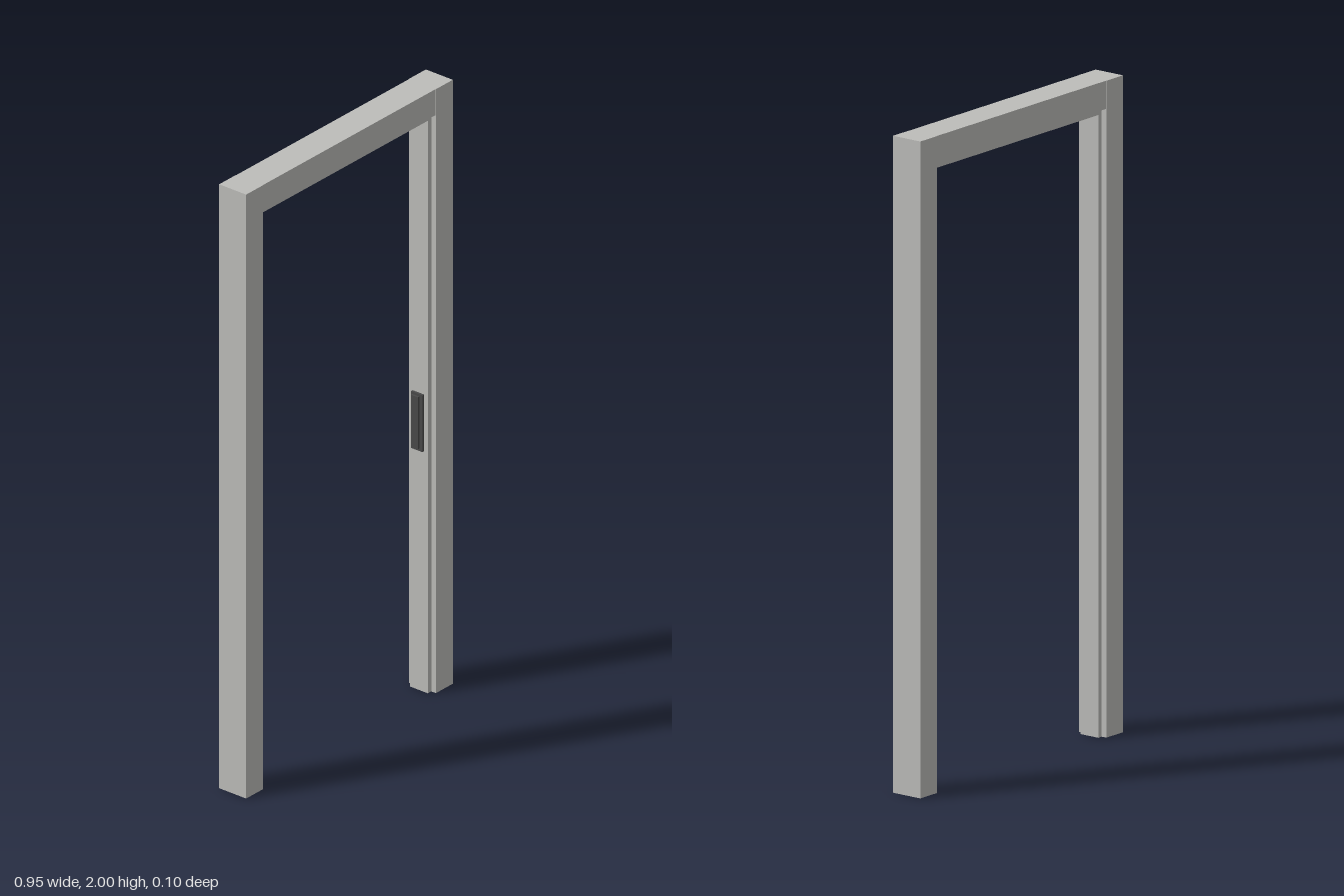
import * as THREE from 'three';

export function createModel() {
  const model = new THREE.Group();
  const frameGrey = new THREE.MeshStandardMaterial({ color: 0xbdbdba });
  frameGrey.name = 'frame grey';
  const darkMetal = new THREE.MeshStandardMaterial({ color: 0x4a4a4a });
  darkMetal.name = 'dark metal';

  // Box given by its lower and upper bounds on each axis
  function block(name, [x0, x1], [y0, y1], [z0, z1], material = frameGrey) {
    const mesh = new THREE.Mesh(new THREE.BoxGeometry(x1 - x0, y1 - y0, z1 - z0), material);
    mesh.position.set((x0 + x1) / 2, (y0 + y1) / 2, (z0 + z1) / 2);
    mesh.name = name;
    model.add(mesh);
  }

  const outer = 0.475, inner = 0.397, stop = 0.381;
  const headBottom = 1.914, stopBottom = 1.896;
  const depth = 0.0515, stopDepth = 0.034;

  // Jambs with a raised door stop along the middle of their inner faces
  for (const [side, s] of [['left', 1], ['right', -1]]) {
    const span = (a, b) => (s > 0 ? [a, b] : [-b, -a]);
    block(side + 'Jamb', span(inner, outer), [0, 2], [-depth, depth]);
    block(side + 'Stop', span(stop, inner), [0, headBottom], [-stopDepth, stopDepth]);
  }

  // Head between the jambs, set back slightly, with its own stop
  block('head', [-inner, inner], [headBottom, 2], [-depth + 0.001, depth - 0.001]);
  block('headStop', [-stop, stop], [stopBottom, headBottom], [-stopDepth, stopDepth]);

  // Strike plate on the left jamb, with a raised centre
  block('strikePlate', [0.373, stop], [0.797, 0.985], [-0.024, 0.02], darkMetal);
  block('strikeCentre', [0.367, 0.373], [0.805, 0.977], [-0.018, 0.008], darkMetal);

  return model;
}
